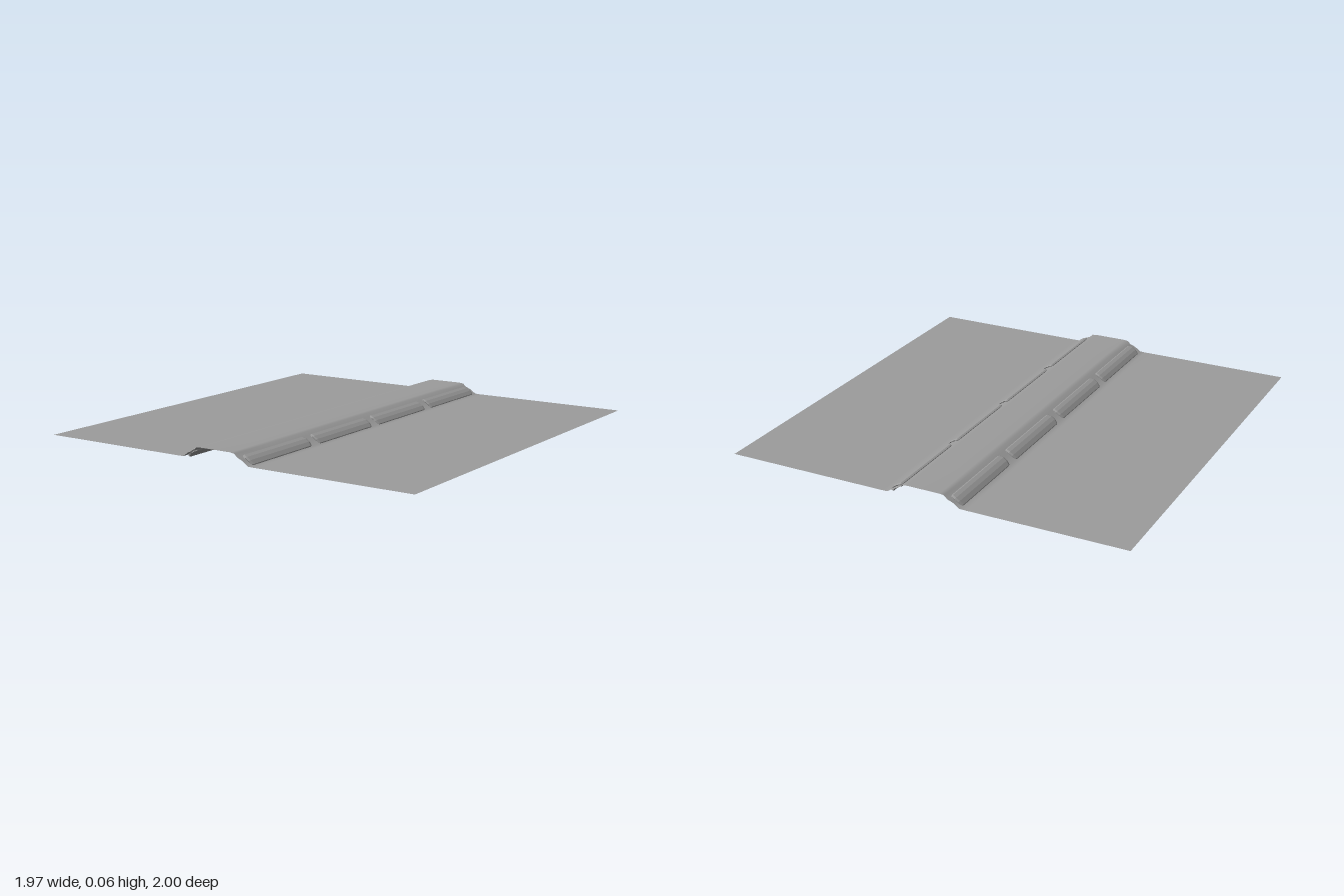
import * as THREE from 'three';

const MID = -0.018; // centre line of the ridge
const GREY = 0x9c9c9c;

export function createModel() {
  const model = new THREE.Group();
  const material = new THREE.MeshStandardMaterial({ color: GREY });
  const sheetMaterial = new THREE.MeshStandardMaterial({ color: GREY, side: THREE.DoubleSide });

  // Thin sheet: a plane whose columns follow the raised ridge profile
  const flank = [[-0.32, 0.01], [-0.225, 0.01], [-0.196, 0.011], [-0.168, 0.031], [-0.138, 0.043], [-0.122, 0.058], [-0.1, 0.061]];
  const profile = [
    [-0.984, 0.01],
    ...flank,
    ...flank.map(([x, y]) => [2 * MID - x, y]).reverse(),
    [0.984, 0.01],
  ];
  const cols = profile.length;
  const sheet = new THREE.PlaneGeometry(2, 2, cols - 1, 8).rotateX(-Math.PI / 2);
  const pos = sheet.attributes.position;
  for (let i = 0; i < pos.count; i++) {
    const [x, y] = profile[i % cols];
    pos.setXYZ(i, x, y, pos.getZ(i));
  }
  sheet.computeVertexNormals();
  const sheetMesh = new THREE.Mesh(sheet, sheetMaterial);
  sheetMesh.name = 'ridgedSheet';
  model.add(sheetMesh);

  // Bar cross-section: [position along the arc, height off it], chamfered at all four corners
  const arc = new THREE.QuadraticBezierCurve(
    new THREE.Vector2(-0.195, 0.0035), new THREE.Vector2(-0.17, 0.036), new THREE.Vector2(-0.138, 0.042));
  const upper = [[0, 0.004], [0.09, 0.009], [0.36, 0.009], [0.64, 0.009], [0.9, 0.009], [1, 0.004]];
  const outline = [...upper, ...upper.map(([t, h]) => [t, -h]).reverse()];

  // Four bars along each shoulder of the ridge
  const length = 0.455, bevel = 0.01;
  for (const side of [-1, 1]) {
    const points = outline.map(([t, h]) => {
      const p = arc.getPoint(t), d = arc.getTangent(t);
      const x = p.x - d.y * h;
      return new THREE.Vector2(side < 0 ? x : 2 * MID - x, p.y + d.x * h);
    });
    const bar = new THREE.ExtrudeGeometry(new THREE.Shape(points), {
      depth: length - 2 * bevel,
      bevelEnabled: true,
      bevelThickness: bevel,
      bevelSize: 0.004,
      bevelOffset: -0.004,
      bevelSegments: 1,
    });
    bar.translate(0, 0, bevel - length / 2);

    // Bow the ends so the bar's corners are rounded off
    const p = bar.attributes.position;
    for (let i = 0; i < p.count; i++) {
      const across = (Math.abs(p.getX(i) - MID) - 0.15) / 0.03;
      p.setZ(i, p.getZ(i) - Math.sign(p.getZ(i)) * 0.01 * across * across);
    }
    bar.computeVertexNormals();

    const row = new THREE.Group();
    row.name = side < 0 ? 'rightBarRow' : 'leftBarRow';
    for (let i = 0; i < 4; i++) {
      const mesh = new THREE.Mesh(bar, material);
      mesh.name = 'shoulderBar';
      mesh.position.z = -0.752 + i * 0.5;
      row.add(mesh);
    }
    model.add(row);
  }
  return model;
}
